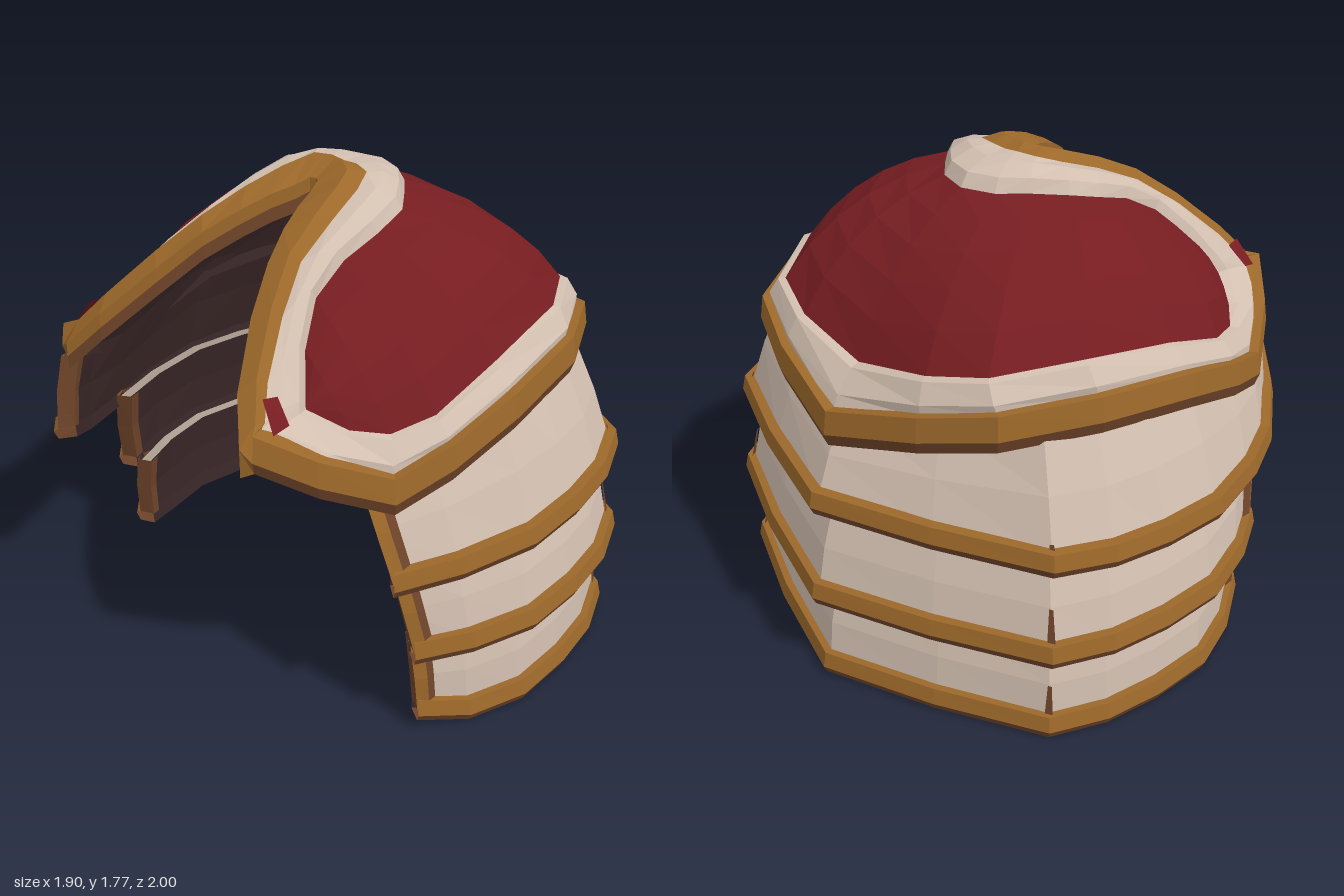
import * as THREE from 'three';

const mat = (name, color) => {
  const m = new THREE.MeshStandardMaterial({ color, flatShading: true, side: THREE.DoubleSide });
  m.name = name;
  return m;
};

const V = (a) => new THREE.Vector3(...a);
const lerp = (a, b, t) => a.map((p, i) => p.clone().lerp(b[i], t));
// Mirror a half curve (centre to front end) into a full curve (back end to front end)
const full = (half) => [
  ...half.slice(1).reverse().map(([x, y, z]) => V([x, y, -z])),
  ...half.map(V),
];
// Move a point away from the vertical axis by o and up by dy
const shift = (p, o, dy) => {
  const r = Math.hypot(p.x, p.z) || 1;
  return V([p.x + (p.x / r) * o, p.y + dy, p.z + (p.z / r) * o]);
};
const offset = (path, o, dy) => path.map((p) => shift(p, o, dy));
// Shrink a path toward the middle of the armour for the lining
const shrink = (path, s) => path.map((p) => V([-0.1 + (p.x + 0.1) * s, 0.7 + (p.y - 0.7) * s, p.z * s]));

// Skin a list of equally long rows
function skin(name, rows, material) {
  const n = rows[0].length, idx = [];
  for (let r = 0; r < rows.length - 1; r++)
    for (let i = 0; i < n - 1; i++) {
      const a = r * n + i, b = a + n;
      idx.push(a, b, a + 1, a + 1, b, b + 1);
    }
  const g = new THREE.BufferGeometry().setFromPoints(rows.flat());
  g.setIndex(idx);
  const flat = g.toNonIndexed();
  flat.computeVertexNormals();
  const mesh = new THREE.Mesh(flat, material);
  mesh.name = name;
  return mesh;
}

export function createModel() {
  const red = mat('crimson', 0x761d21);
  const ivory = mat('ivory', 0xd2bfb0);
  const gold = mat('gold', 0x9c682a);
  const brown = mat('bronze', 0x70452a);
  const dark = mat('darkLining', 0x3c2829);
  const model = new THREE.Group();
  model.name = 'shoulderArmour';

  // Gold edge with a bronze lower face and a dark back
  function rim(name, path, h = 0.045) {
    const g = new THREE.Group();
    g.name = name;
    g.add(
      skin(name + 'Upper', [offset(path, -0.04, h), offset(path, 0.022, h), offset(path, 0.035, -h * 0.3)], gold),
      skin(name + 'Lower', [offset(path, 0.035, -h * 0.3), offset(path, 0.02, -h), offset(path, -0.045, -h)], brown),
      skin(name + 'Back', [offset(path, -0.045, -h), offset(path, -0.04, h)], dark),
    );
    return g;
  }

  // ---- Dome: matching half curves, from the outer middle to the tip ----
  const outer = full([[0.81, 1.01, 0], [0.72, 1.09, 0.33], [0.61, 1.15, 0.57], [0.33, 1.17, 0.74], [-0.03, 1.13, 0.81],
    [-0.3, 1.05, 0.8], [-0.5, 0.985, 0.75], [-0.7, 1.08, 0.63], [-0.84, 1.17, 0.5]]);
  const redLow = full([[0.68, 1.2, 0], [0.66, 1.26, 0.3], [0.58, 1.3, 0.5], [0.33, 1.33, 0.67], [-0.03, 1.27, 0.73],
    [-0.3, 1.18, 0.73], [-0.45, 1.15, 0.68], [-0.55, 1.17, 0.6], [-0.63, 1.23, 0.49]]);
  const redTop = full([[0.2, 1.67, 0], [0.16, 1.67, 0.12], [0.08, 1.67, 0.2], [-0.02, 1.66, 0.29], [-0.15, 1.62, 0.31],
    [-0.3, 1.57, 0.31], [-0.44, 1.49, 0.33], [-0.55, 1.37, 0.4], [-0.63, 1.23, 0.49]]);
  const neckOut = full([[-0.01, 1.75, 0], [-0.01, 1.755, 0.06], [-0.03, 1.75, 0.13], [-0.11, 1.72, 0.17], [-0.26, 1.665, 0.21],
    [-0.43, 1.585, 0.25], [-0.58, 1.47, 0.33], [-0.72, 1.33, 0.42], [-0.785, 1.24, 0.48]]);
  const neckIn = full([[-0.14, 1.72, 0], [-0.15, 1.72, 0.02], [-0.2, 1.7, 0.04], [-0.28, 1.68, 0.07], [-0.38, 1.64, 0.11],
    [-0.5, 1.575, 0.17], [-0.64, 1.46, 0.25], [-0.8, 1.3, 0.37], [-0.88, 1.18, 0.47]]);

  const domeRows = [0, 0.2, 0.4, 0.6, 0.8, 1].map((t) =>
    lerp(redTop, redLow, t).map((p, i) => {
      const k = 4 * t * (1 - t) * redTop[i].distanceTo(redLow[i]);
      return shift(p, 0.06 * k, 0.085 * k);
    }));
  model.add(skin('domePanel', domeRows, red));

  // Ivory border below the panel and around the neck opening
  const lowBorder = [redLow, offset(lerp(redLow, outer, 0.1), 0.02, 0.01),
    offset(lerp(redLow, outer, 0.55), 0.025, 0.02), offset(outer, -0.01, 0.05)];
  const neckBorder = [redTop, offset(lerp(redTop, neckOut, 0.15), 0, 0.035),
    offset(lerp(redTop, neckOut, 0.6), 0, 0.03), neckOut];
  model.add(skin('lowerBorder', lowBorder, ivory), skin('neckBorder', neckBorder, ivory));

  // Gold borders
  const neckCrest = offset(lerp(neckOut, neckIn, 0.35), 0, 0.03);
  const neckDrop = offset(neckIn, 0, -0.05);
  model.add(rim('domeRim', outer, 0.066));
  model.add(skin('neckRim', [neckOut, neckCrest, neckIn, neckDrop], gold));
  model.add(skin('neckRimEdge', [neckDrop, offset(neckIn, 0, -0.1), offset(neckOut, 0, -0.08)], brown));

  // Close both dome tips: ivory cap, gold point and a small red inlay
  for (const [e, s] of [[0, -1], [outer.length - 1, 1]]) {
    model.add(skin('tipBorder', [lowBorder.map((r) => r[e]), neckBorder.map((r) => r[e])], ivory));
    model.add(skin('tipPoint', [
      [shift(outer[e], -0.01, 0.05), shift(outer[e], 0.022, 0.066), shift(outer[e], 0.035, -0.02), shift(outer[e], 0.02, -0.066)],
      [neckOut[e], neckCrest[e], neckIn[e], shift(neckIn[e], 0, -0.1)]], gold));
    const P = (x, y, z) => V([x, y, z * s]);
    model.add(skin('tipInlay', [[P(-0.72, 1.3, 0.465), P(-0.775, 1.31, 0.46)],
      [P(-0.735, 1.235, 0.535), P(-0.795, 1.22, 0.53)]], red));
  }

  // Dark lining under the dome
  model.add(skin('domeLining', [offset(neckIn, 0, -0.1), offset(neckOut, 0, -0.08),
    ...domeRows.map((r) => shrink(r, 0.94)), shrink(outer, 0.95), offset(outer, -0.02, -0.06)], dark));

  // ---- Three overlapping lames ----
  const plan = [[0.95, 0], [0.8, 0.42], [0.62, 0.81], [0.42, 0.91], [0.2, 0.96], [-0.05, 0.98], [-0.3, 0.92], [-0.5, 0.83]];
  const ring = (sx, sn, sz, y) => full(plan.map(([x, z]) => [x * (x > 0 ? sx : sn), y(x), z * sz]));

  function lame(name, top, bottom, seamHeight) {
    const g = new THREE.Group();
    g.name = name;
    const mid = offset(lerp(top, bottom, 0.5), 0.01, 0);
    g.add(skin(name + 'Plate', [top, mid, bottom], ivory));
    g.add(skin(name + 'Lining', [top, mid, bottom].map((r) => offset(r, -0.04, 0)), dark));
    g.add(rim(name + 'Rim', bottom));
    const last = top.length - 1, centre = top.length - plan.length;

    // Upright edge strips closing both ends: bronze side, gold face, bronze inner line
    for (const [e, n] of [[0, 1], [last, last - 1]]) {
      const strip = [top, mid, bottom].map((r) => {
        const dir = r[n].clone().sub(r[e]).normalize();
        const along = (d, o) => shift(r[e].clone().addScaledVector(dir, d), o, 0);
        return [along(0.05, -0.045), along(0, -0.045), along(0, 0.018), along(0.045, 0.022), along(0.075, 0.002)];
      });
      g.add(skin(name + 'EndSide', strip.map((r) => r.slice(0, 3)), brown));
      g.add(skin(name + 'EndFace', strip.map((r) => r.slice(2, 4)), gold));
      g.add(skin(name + 'EndLine', strip.map((r) => r.slice(3)), brown));
    }

    // Thin tapering seams on the outer corners
    for (const c of [centre - 2, centre + 2]) {
      const dir = top[c + 1].clone().sub(top[c]).setLength(0.014);
      const at = (p, k) => shift(p.clone().addScaledVector(dir, k), 0.007, 0);
      const tip = bottom[c].clone().lerp(mid[c], seamHeight);
      g.add(skin(name + 'Seam', [[at(bottom[c], -1.2), at(bottom[c], 0), at(bottom[c], 1.2)],
        [at(tip, -0.5), at(tip, 0), at(tip, 0.5)]], brown));
    }
    model.add(g);
  }

  // The upper lame reaches further round at the back
  const top1 = ring(0.79, 1.14, 0.8, (x) => (x > 0.9 ? 1.06 : x > 0.7 ? 1.1 : x < -0.4 ? 1.04 : x < -0.2 ? 1.08 : 1.15));
  const low1 = ring(0.94, 1.1, 0.965, (x) => 0.715 + 0.04 * x);
  top1.unshift(V([-0.88, 1.13, -0.48]), V([-0.73, 1.07, -0.6]));
  low1.unshift(V([-0.92, 0.85, -0.49]), V([-0.76, 0.745, -0.66]));
  lame('upperLame', top1, low1, 0.3);
  lame('middleLame', ring(0.87, 1.02, 0.9, () => 0.71), ring(0.965, 0.93, 0.985, () => 0.38), 1);
  lame('lowerLame', ring(0.88, 0.86, 0.92, () => 0.37), ring(0.94, 0.84, 0.96, (x) => (x < -0.4 ? 0.09 : 0.046)), 1);

  return model;
}
